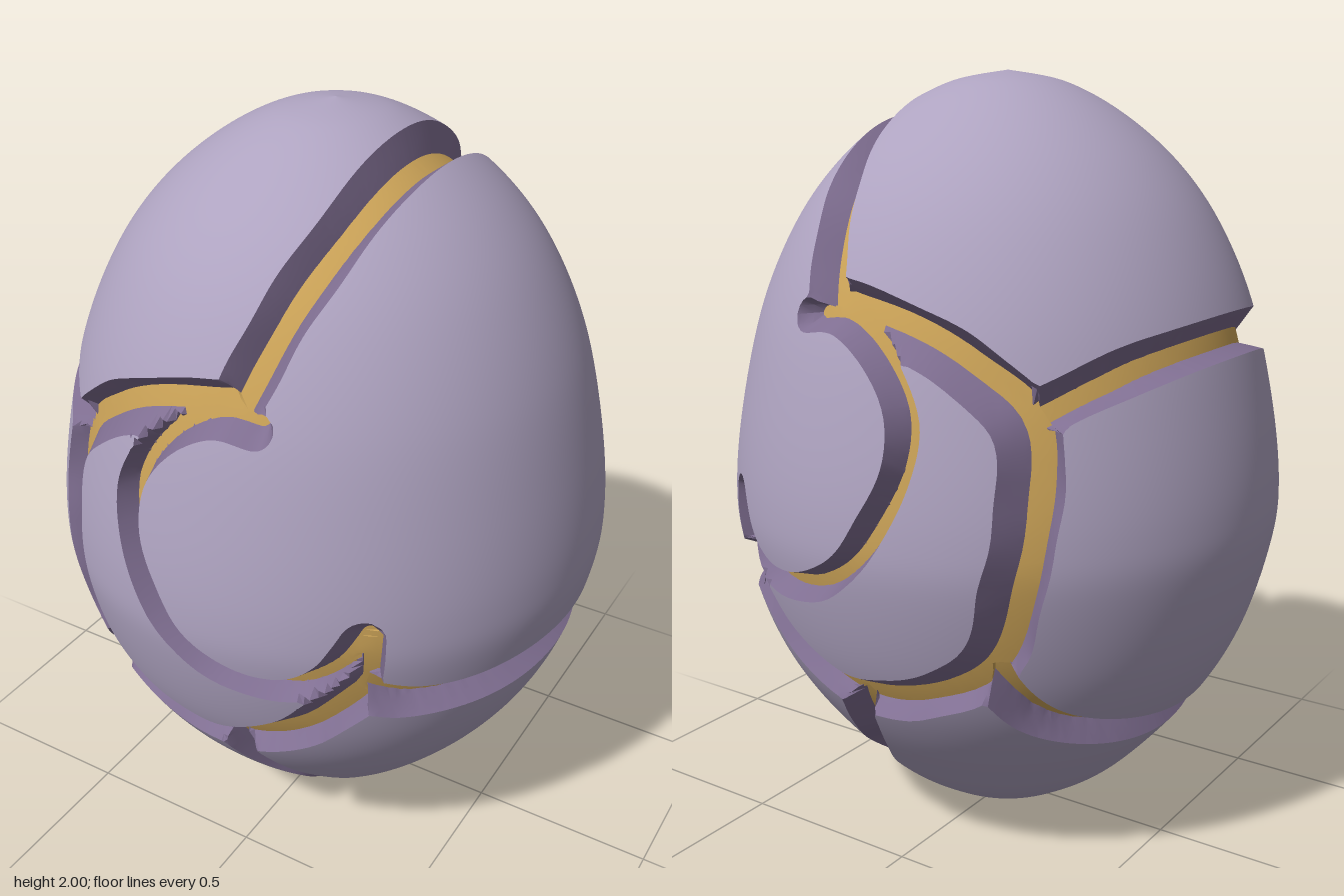
import * as THREE from 'three';
import { toCreasedNormals } from 'three/addons/utils/BufferGeometryUtils.js';

const FLOOR = 0.023, RIM = 0.061, DEPTH = 0.06;   // groove half widths and depth

const shellMat = new THREE.MeshStandardMaterial({ name: 'lilac shell', color: 0xaea3c0 });
const wallMat = new THREE.MeshStandardMaterial({ name: 'purple groove wall', color: 0x806f92 });
const goldMat = new THREE.MeshStandardMaterial({ name: 'gold seam', color: 0xcaa257 });

const spline = (pts, n) => new THREE.SplineCurve(pts.map(([x, y]) => new THREE.Vector2(x, y))).getPoints(n);

// egg profile, bottom to top
const profile = spline([[0, 0], [0.13, 0.02], [0.25, 0.08], [0.38, 0.18], [0.55, 0.38], [0.655, 0.57],
  [0.72, 0.8], [0.73, 0.96], [0.7, 1.18], [0.64, 1.42], [0.55, 1.62], [0.44, 1.77], [0.3, 1.89],
  [0.15, 1.97], [0, 2]], 150);
profile[0].x = profile[profile.length - 1].x = 0;

// seams between the plates, drawn in x and y and cut straight through along z
const seams = [
  // outer edge of the crescent
  { size: 1, pts: [[0.1, 1.475], [-0.12, 1.43], [-0.28, 1.35], [-0.41, 1.235], [-0.435, 1.05], [-0.41, 0.84],
    [-0.33, 0.64], [-0.175, 0.54], [0.04, 0.5], [0.25, 0.6], [0.41, 0.775]] },
  // inner edge of the crescent
  { size: 0.65, pts: [[0.16, 1.435], [0.05, 1.44], [-0.07, 1.37], [-0.16, 1.235], [-0.15, 1.08], [-0.05, 0.9],
    [0.09, 0.8], [0.25, 0.78], [0.36, 0.845], [0.425, 0.96]] },
  { size: 0.75, pts: [[0.425, 0.95], [0.42, 0.86], [0.41, 0.775]] },
  // branches to the rim
  { size: 1, pts: [[0.41, 0.775], [0.51, 0.72], [0.67, 0.705], [0.9, 0.72]] },
  { size: 1, pts: [[0.1, 1.475], [0.16, 1.66], [0.22, 1.83], [0.28, 2.05]] },
  { size: 0.9, pts: [[-0.41, 1.235], [-0.52, 1.31], [-0.61, 1.36], [-0.8, 1.44]] },
  { size: 0.9, pts: [[-0.33, 0.64], [-0.41, 0.47], [-0.545, 0.365], [-0.7, 0.27]] },
  { size: 0.85, pts: [[0.04, 0.5], [0.105, 0.31], [0.17, 0.18], [0.165, 0.055], [0.16, -0.1]] },
].map(s => ({ size: s.size, line: spline(s.pts, s.pts.length * 5) }));

// scaled distance to the nearest seam, and the direction across that seam
function nearestSeam(x, y) {
  let d = 9, across;
  for (const { size, line } of seams) {
    for (let i = 1; i < line.length; i++) {
      const a = line[i - 1], b = line[i], dx = b.x - a.x, dy = b.y - a.y;
      const t = THREE.MathUtils.clamp(((x - a.x) * dx + (y - a.y) * dy) / (dx * dx + dy * dy), 0, 1);
      const dist = Math.hypot(x - a.x - t * dx, y - a.y - t * dy) / size;
      if (dist < d) {
        d = dist;
        across = new THREE.Vector3(-dy, dx, 0).normalize();
      }
    }
  }
  // chipped, slightly uneven rims
  return { d: d * (1 + 0.07 * Math.sin(17 * x + 9 * y) * Math.sin(23 * y - 11 * x)), across };
}

// keep the part of a polygon where sign * (d - level) >= 0
function clip(poly, level, sign) {
  const out = [];
  poly.forEach((a, i) => {
    const b = poly[(i + 1) % poly.length];
    const da = sign * (a.d - level), db = sign * (b.d - level);
    if (da >= 0) out.push(a);
    if (da * db < 0) {
      const t = da / (da - db);
      const mix = key => a[key].clone().lerp(b[key], t);
      out.push({ p: mix('p'), n: mix('n').normalize(), down: mix('down').normalize(), d: level });
    }
  });
  return out;
}

// one band of the egg between two seam distances, sunk into the groove
function band(tris, lo, hi, smooth) {
  const pos = [], nor = [];
  for (const tri of tris) {
    const poly = clip(clip(tri, lo, 1), hi, -1);
    for (let i = 2; i < poly.length; i++) {
      for (const v of [poly[0], poly[i - 1], poly[i]]) {
        const sink = DEPTH * THREE.MathUtils.clamp((RIM - v.d) / (RIM - FLOOR), 0, 1);
        pos.push(...v.p.clone().addScaledVector(v.down, sink).toArray());
        nor.push(...v.n.toArray());
      }
    }
  }
  const geo = new THREE.BufferGeometry();
  geo.setAttribute('position', new THREE.Float32BufferAttribute(pos, 3));
  geo.setAttribute('normal', new THREE.Float32BufferAttribute(nor, 3));
  return smooth ? geo : toCreasedNormals(geo, 0.5);
}

export function createModel() {
  const egg = new THREE.LatheGeometry(profile, 280);
  const { position, normal } = egg.attributes;
  const verts = [];
  for (let i = 0; i < position.count; i++) {
    const p = new THREE.Vector3().fromBufferAttribute(position, i);
    const n = new THREE.Vector3().fromBufferAttribute(normal, i);
    const { d, across } = nearestSeam(p.x, p.y);
    // grooves sink inward without drifting sideways off their seam
    const down = n.clone().addScaledVector(across, -n.dot(across)).normalize().negate();
    verts.push({ p, n, down, d });
  }
  const tris = [];
  for (let i = 0; i < egg.index.count; i += 3) {
    const t = [0, 1, 2].map(k => verts[egg.index.getX(i + k)]);
    const area = new THREE.Triangle(t[0].p, t[1].p, t[2].p).getArea();
    if (area > 1e-9) tris.push(t);
  }

  const group = new THREE.Group();
  group.name = 'crackedEgg';
  const add = (name, geo, mat) => {
    const mesh = new THREE.Mesh(geo, mat);
    mesh.name = name;
    group.add(mesh);
  };
  add('shellPlates', band(tris, RIM, 99, true), shellMat);
  add('grooveWalls', band(tris, FLOOR, RIM, false), wallMat);
  add('goldSeams', band(tris, -1, FLOOR, false), goldMat);
  return group;
}
